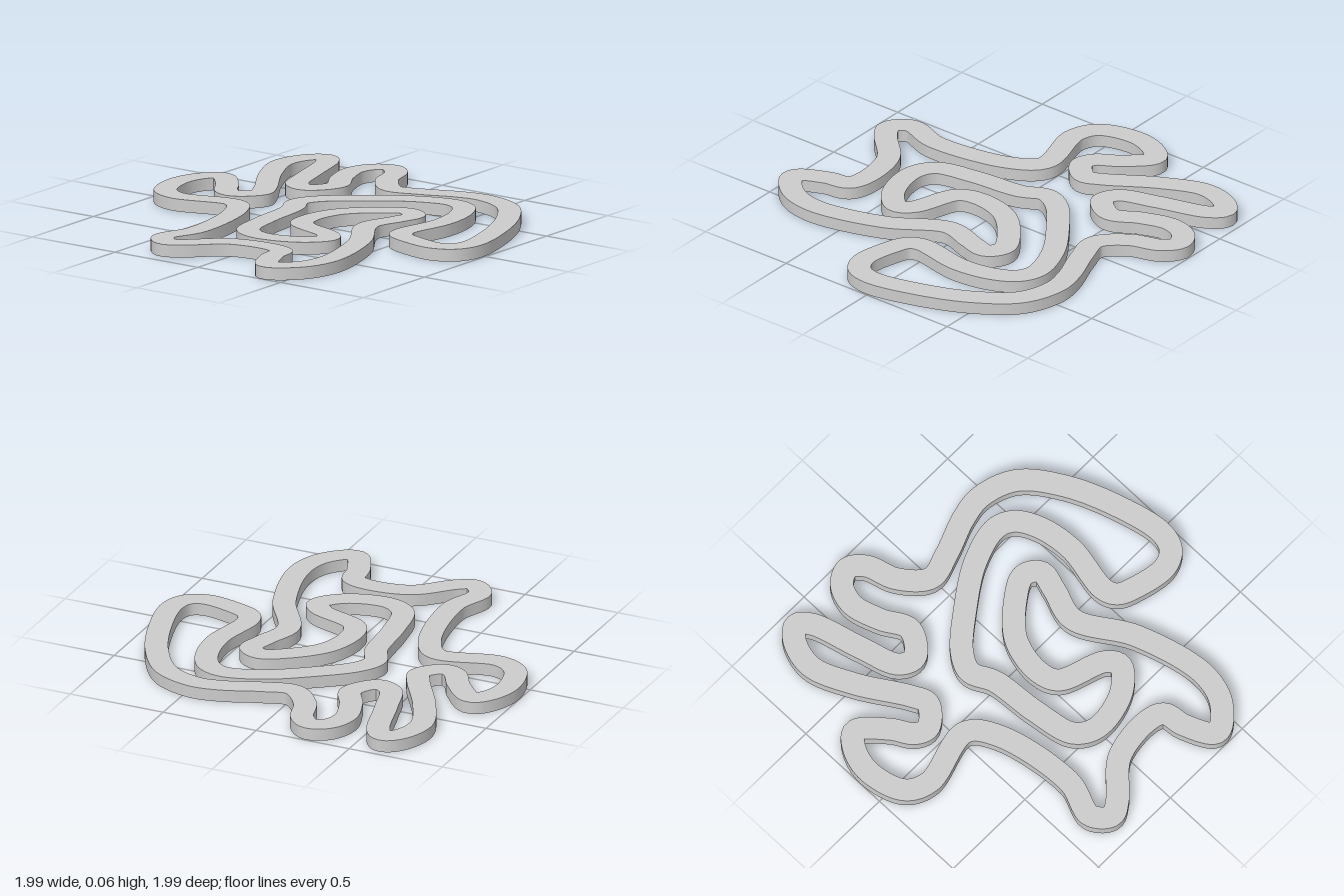
import * as THREE from 'three';

const HALF_WIDTH = 0.057, HEIGHT = 0.062, STEPS = 900;

// Centre line of the closed winding track, as [x, z] control points
const CENTRE = [
  // back loop and the three fingers on the left
  [0.13, -0.943], [0.265, -0.905], [0.325, -0.84], [0.21, -0.715], [0.105, -0.645], [0.08, -0.58],
  [0.17, -0.488], [0.25, -0.517], [0.5, -0.668], [0.713, -0.75], [0.86, -0.71], [0.913, -0.645], [0.86, -0.59],
  [0.6, -0.51], [0.415, -0.445], [0.38, -0.365], [0.5, -0.275], [0.64, -0.34], [0.793, -0.38],
  [0.9, -0.34], [0.937, -0.26], [0.88, -0.19], [0.73, -0.135], [0.612, -0.015],
  // long sweep to the front
  [0.645, 0.13], [0.715, 0.32], [0.733, 0.455], [0.668, 0.635], [0.485, 0.777], [0.23, 0.883],
  [-0.025, 0.936], [-0.12, 0.905], [-0.163, 0.82], [-0.135, 0.65], [-0.095, 0.56], [-0.03, 0.53],
  // inner spiral
  [0.23, 0.57], [0.42, 0.54], [0.53, 0.475], [0.567, 0.385], [0.515, 0.195], [0.385, -0.008],
  [0.235, -0.185], [0.136, -0.23], [0.015, -0.18], [-0.24, -0.153], [-0.445, -0.105], [-0.507, 0],
  [-0.465, 0.205], [-0.36, 0.307], [-0.295, 0.265], [-0.2, 0.04], [-0.093, 0.003], [0.09, 0.045],
  [0.235, 0.185], [0.3, 0.31], [0.25, 0.382], [0.14, 0.36], [-0.03, 0.315], [-0.315, 0.47],
  // right side and back to the start
  [-0.68, 0.556], [-0.85, 0.508], [-0.942, 0.385], [-0.8, 0.3], [-0.69, 0.275], [-0.657, 0.19],
  [-0.69, -0.035], [-0.84, -0.205], [-0.877, -0.28], [-0.8, -0.353],
  [-0.606, -0.3], [-0.2, -0.366], [-0.064, -0.47], [-0.12, -0.775], [-0.06, -0.89],
];

// Sweeps a rectangle around the closed curve; each side is its own strip so edges stay sharp
function sweepRectangle(curve) {
  const corners = [[-1, HEIGHT], [1, HEIGHT], [1, 0], [-1, 0]];
  const positions = [], normals = [], indices = [];
  const frames = [];
  for (let i = 0; i <= STEPS; i++) {
    const u = (i % STEPS) / STEPS;
    const p = curve.getPointAt(u), t = curve.getTangentAt(u);
    frames.push({ p, n: new THREE.Vector3(-t.z, 0, t.x).normalize() });
  }
  for (let side = 0; side < 4; side++) {
    const base = positions.length / 3;
    const a = corners[side], b = corners[(side + 1) % 4];
    frames.forEach(({ p, n }, i) => {
      for (const [s, y] of [a, b]) {
        positions.push(p.x + n.x * s * HALF_WIDTH, y, p.z + n.z * s * HALF_WIDTH);
        if (side === 0) normals.push(0, 1, 0);
        else if (side === 2) normals.push(0, -1, 0);
        else normals.push(n.x * s, 0, n.z * s);
      }
      if (i < STEPS) {
        const k = base + i * 2;
        indices.push(k, k + 1, k + 2, k + 1, k + 3, k + 2);
      }
    });
  }
  const geometry = new THREE.BufferGeometry();
  geometry.setAttribute('position', new THREE.Float32BufferAttribute(positions, 3));
  geometry.setAttribute('normal', new THREE.Float32BufferAttribute(normals, 3));
  geometry.setIndex(indices);
  return geometry;
}

export function createModel() {
  const group = new THREE.Group();
  group.name = 'windingTrack';
  const curve = new THREE.CatmullRomCurve3(
    CENTRE.map(([x, z]) => new THREE.Vector3(x, 0, z)), true, 'centripetal');
  curve.arcLengthDivisions = 3000;
  const track = new THREE.Mesh(
    sweepRectangle(curve), new THREE.MeshStandardMaterial({ color: 0xcccccc }));
  track.name = 'track';
  group.add(track);
  return group;
}
